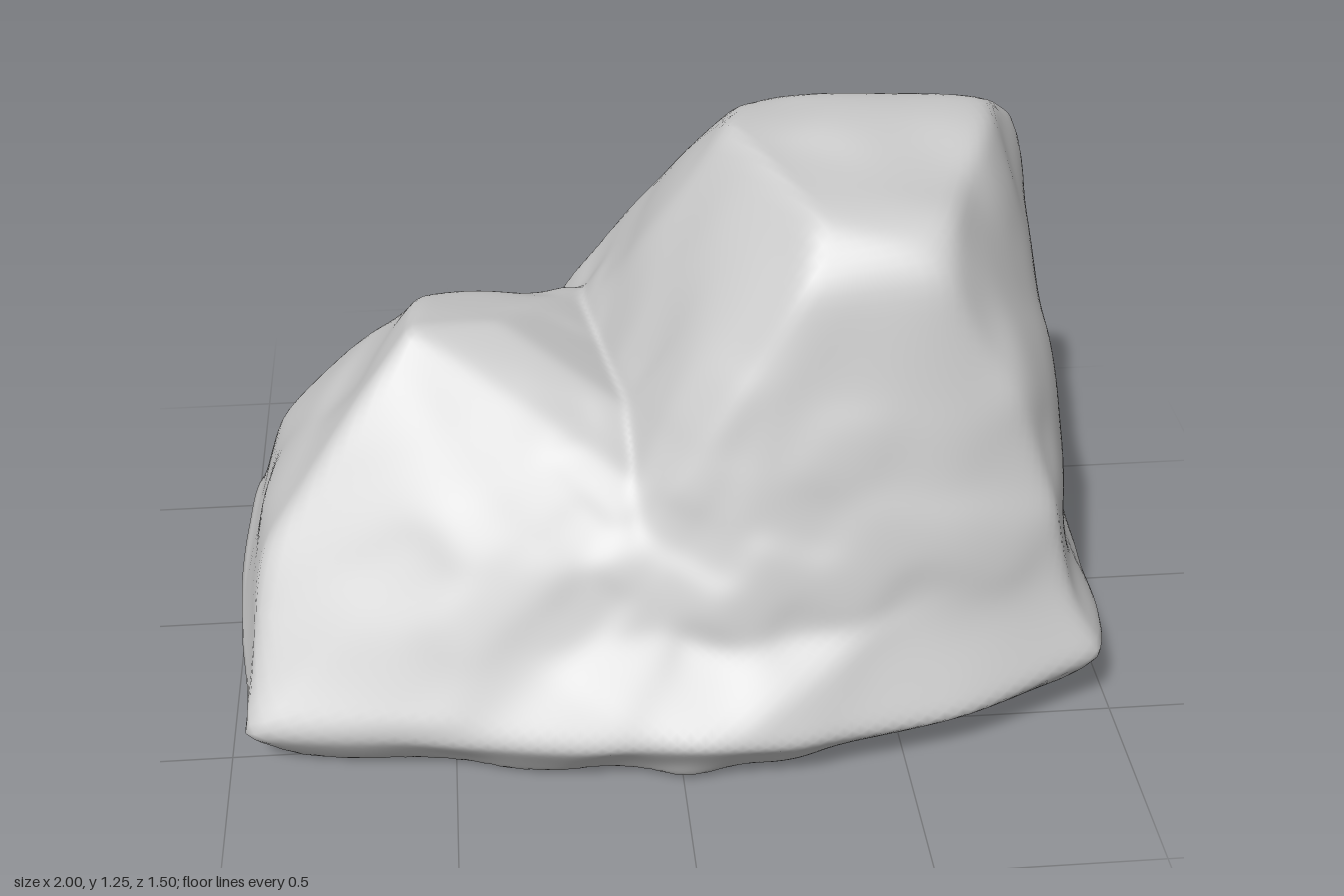
import * as THREE from 'three';
import { ConvexGeometry } from 'three/addons/geometries/ConvexGeometry.js';
import { mergeVertices } from 'three/addons/utils/BufferGeometryUtils.js';

const CENTRE = new THREE.Vector3(0, 0.35, 0);

// Corner points of each convex lobe of the boulder: x, y, z
const tallLobe = [
  [0.15, 1.285, -0.07], [0.2, 1.265, -0.22], [0.3, 1.225, 0.28], [0.6, 1.215, 0.29],
  [0.45, 1.19, 0.35], [0.57, 1.11, 0.41], [0.27, 1.1, 0.39], [0.6, 1.25, -0.2],
  [0.8, 1.225, -0.28], [0.89, 1.14, -0.38], [0.3, 1.17, -0.38], [0.91, 1.0, -0.38],
  [0, 1.05, -0.05], [0.05, 0.92, 0.3], [-0.1, 0.84, -0.42], [0.3, 0.85, -0.46],
  [0.8, 0.7, 0.45], [0.92, 0.2, 0.5], [0.88, 0.2, -0.5], [0.6, 0.2, 0.61],
  [0.5, 0.2, -0.62], [0, 0.2, 0.62], [0, 0.2, -0.66], [-0.3, 0.2, 0.5],
  [-0.5, 0.2, -0.45], [0.86, 0.08, 0.44], [0.84, 0.14, -0.4], [-0.3, 0.08, 0.48],
  [-0.4, 0.08, -0.43],
];
const lowLobe = [
  [-0.58, 0.89, 0.12], [-0.55, 0.85, -0.1], [-0.36, 0.86, 0.05], [-0.5, 0.67, -0.36],
  [-0.15, 0.75, 0.2], [-0.15, 0.75, -0.28], [-0.75, 0.68, 0.24], [-0.75, 0.58, -0.31],
  [-0.91, 0.48, 0.33], [-0.9, 0.45, -0.27], [-0.5, 0.5, 0.46], [-0.2, 0.5, 0.49],
  [-1.01, 0.15, 0], [-0.96, 0.14, 0.54], [-0.97, 0.15, -0.43], [-0.5, 0.17, 0.64],
  [-0.5, 0.17, -0.6], [0.4, 0.15, 0.6], [0.4, 0.15, -0.55], [0.1, 0.54, 0.47],
  [0.35, 0.5, 0.42], [0.35, 0.5, -0.4], [-0.82, 0.07, 0.45], [-0.82, 0.07, -0.35],
  [0.4, 0.08, 0.5], [0.4, 0.08, -0.45],
];
const baseLobe = [
  [-0.97, 0.12, 0.55], [-0.4, 0.13, 0.67], [0.02, 0.16, 0.76], [0.25, 0.15, 0.71],
  [0.6, 0.14, 0.67], [0.96, 0.2, 0.53], [1.015, 0.2, -0.18], [0.98, 0.2, -0.48],
  [0.6, 0.2, -0.61], [0, 0.2, -0.77], [-0.35, 0.18, -0.67], [-0.85, 0.15, -0.54],
  [-0.98, 0.15, -0.45], [-1.02, 0.14, 0], [-0.86, 0.01, 0.49], [0, 0.02, 0.66],
  [0.88, 0.07, 0.47], [0.88, 0.07, -0.1], [0.92, 0.14, -0.44], [0.5, 0.09, -0.56],
  [0, 0.02, -0.72], [-0.85, 0.02, -0.44], [-0.6, 0.42, 0.42], [0.75, 0.5, 0.46],
  [0.86, 0.66, -0.4], [-0.7, 0.46, -0.42], [-0.05, 0.66, -0.54], [0, 0.43, -0.67],
];

// Face planes of a lobe, measured from the shared centre
function lobePlanes(points) {
  const hull = new ConvexGeometry(points.map(p => new THREE.Vector3(...p).sub(CENTRE)));
  const pos = hull.attributes.position, planes = [];
  for (let i = 0; i < pos.count; i += 3) {
    const [a, b, c] = [0, 1, 2].map(k => new THREE.Vector3().fromBufferAttribute(pos, i + k));
    const n = b.clone().sub(a).cross(c.sub(a)).normalize();
    planes.push({ n, d: n.dot(a) });
  }
  return planes;
}

// Distance from the centre to a lobe's surface, with softly worn edges
function reach(planes, dir) {
  let sum = 0;
  for (const { n, d } of planes) {
    const s = n.dot(dir) / d;
    if (s > 0) sum += s ** 90;
  }
  return sum ** (-1 / 90);
}

// Seeded dents and bumps spread evenly around the boulder
const DENTS = Array.from({ length: 260 }, (_, i) => {
  const y = 1 - (2 * i + 1) / 260, a = i * 2.39996, r = Math.sqrt(1 - y * y);
  const hash = Math.sin(i * 127.1 + 3.7) * 43758.5453;
  return { dir: new THREE.Vector3(r * Math.cos(a), y, r * Math.sin(a)), h: hash - Math.floor(hash) - 0.5 };
});

function chips(dir) {
  let sum = 0, weight = 0;
  for (const dent of DENTS) {
    const w = Math.exp(150 * (dent.dir.dot(dir) - 1));
    sum += w * dent.h;
    weight += w;
  }
  return 0.04 * sum / weight;
}

export function createModel() {
  const lobes = [tallLobe, lowLobe, baseLobe].map(lobePlanes);
  let geometry = new THREE.IcosahedronGeometry(1, 48);
  geometry.deleteAttribute('normal');
  geometry.deleteAttribute('uv');
  geometry = mergeVertices(geometry, 1e-4);

  // Push every point of the ball out to the outermost lobe
  const pos = geometry.attributes.position, dir = new THREE.Vector3();
  for (let i = 0; i < pos.count; i++) {
    dir.fromBufferAttribute(pos, i).normalize();
    const r = lobes.reduce((sum, planes) => sum + reach(planes, dir) ** 60, 0) ** (1 / 60);
    const p = dir.clone().multiplyScalar(r * (1 + chips(dir)));
    pos.setXYZ(i, p.x, p.y, p.z);
  }

  // Centre it and stand it on the ground
  geometry.center();
  geometry.translate(0, geometry.boundingBox.getSize(dir).y / 2, 0);
  geometry.computeVertexNormals();

  const boulder = new THREE.Mesh(geometry, new THREE.MeshStandardMaterial({ color: 0xcccccc }));
  boulder.name = 'boulder';
  const group = new THREE.Group();
  group.name = 'rock';
  group.add(boulder);
  return group;
}
